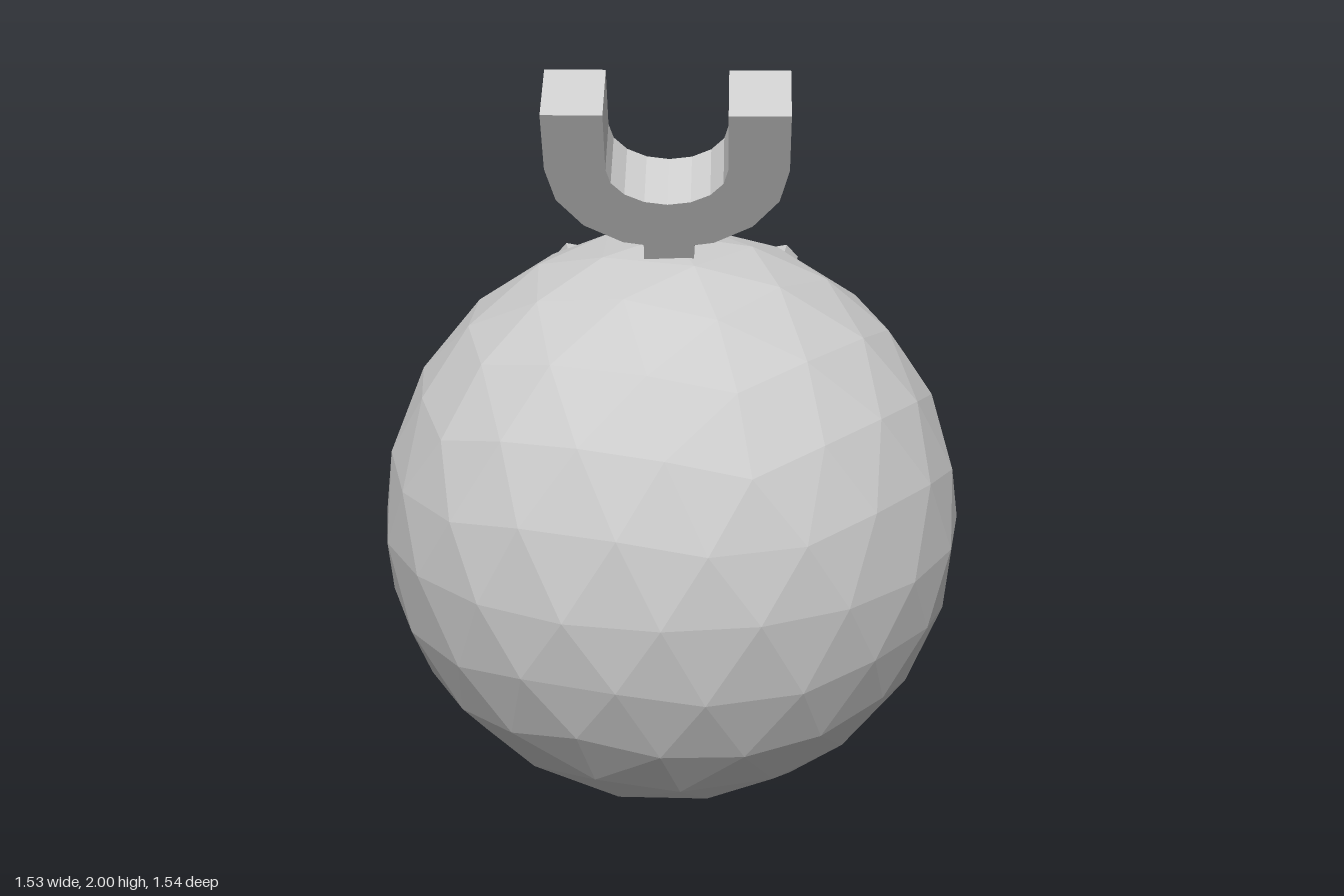
import * as THREE from 'three';

const grey = new THREE.MeshStandardMaterial({ color: 0xcccccc, flatShading: true });
grey.name = 'plain grey';

function part(name, geometry, parent) {
  const mesh = new THREE.Mesh(geometry, grey);
  mesh.name = name;
  parent.add(mesh);
  return mesh;
}

// Icosphere with a vertex at each pole, each triangle split in four per level
function icosphere(radius, levels) {
  const ring = (y, start) => Array.from({ length: 5 }, (_, i) => {
    const a = start + (i * Math.PI * 2) / 5, r = Math.sqrt(1 - y * y);
    return new THREE.Vector3(r * Math.cos(a), y, -r * Math.sin(a));
  });
  const h = Math.sqrt(0.2);
  const up = ring(h, 0), low = ring(-h, Math.PI / 5);
  const top = new THREE.Vector3(0, 1, 0), bottom = new THREE.Vector3(0, -1, 0);
  let tris = [];
  for (let i = 0; i < 5; i++) {
    const j = (i + 1) % 5;
    tris.push([top, up[i], up[j]], [up[i], low[i], up[j]],
      [low[i], low[j], up[j]], [bottom, low[j], low[i]]);
  }
  const mid = (a, b) => a.clone().add(b).normalize();
  for (let n = 0; n < levels; n++) {
    tris = tris.flatMap(([a, b, c]) => {
      const ab = mid(a, b), bc = mid(b, c), ca = mid(c, a);
      return [[a, ab, ca], [ab, b, bc], [ca, bc, c], [ab, bc, ca]];
    });
  }
  const geometry = new THREE.BufferGeometry().setFromPoints(tris.flat());
  geometry.scale(radius, radius, radius);
  geometry.computeVertexNormals();
  return geometry;
}

// Box laid on the ball: long axis along "along", outer face towards "out"
function plate(name, size, centre, along, out, parent) {
  const u = new THREE.Vector3(...along).normalize();
  const n = new THREE.Vector3(...out);
  n.addScaledVector(u, -n.dot(u)).normalize();
  const v = new THREE.Vector3().crossVectors(n, u);
  const mesh = part(name, new THREE.BoxGeometry(...size), parent);
  mesh.quaternion.setFromRotationMatrix(new THREE.Matrix4().makeBasis(u, v, n));
  mesh.position.set(...centre);
  return mesh;
}

// U outline: straight legs above two half ellipses
function horseshoe(depth) {
  const tip = 0.429, spring = 0.26, outer = 0.294, inner = 0.147;
  const arc = (rx, ry, n) => Array.from({ length: n + 1 }, (_, i) => {
    const a = Math.PI + (i * Math.PI) / n;
    return new THREE.Vector2(rx * Math.cos(a), spring + ry * Math.sin(a));
  });
  const shape = new THREE.Shape([
    new THREE.Vector2(-outer, tip), ...arc(outer, spring, 8),
    new THREE.Vector2(outer, tip), new THREE.Vector2(inner, tip),
    ...arc(inner, 0.113, 8).reverse(), new THREE.Vector2(-inner, tip),
  ]);
  return new THREE.ExtrudeGeometry(shape, { depth, bevelEnabled: false })
    .translate(0, 0, -depth / 2);
}

export function createModel() {
  const model = new THREE.Group();
  model.name = 'ballHead';

  part('ball', icosphere(0.766, 2), model).position.set(0, 0.766, 0.002);

  // Horns leaning forward on a short stem
  const horns = new THREE.Group();
  horns.name = 'horns';
  horns.position.set(0, 1.586, 0.119);
  horns.rotation.x = Math.PI / 6;
  model.add(horns);
  part('horseshoe', horseshoe(0.165), horns);
  part('stem', new THREE.BoxGeometry(0.125, 0.17, 0.13), horns).position.y = -0.065;

  // Face on the back of the ball
  for (const [side, s] of [['left', 1], ['right', -1]]) {
    plate(side + 'Eye', [0.3, 0.062, 0.04], [s * 0.23, 1.148, -0.622],
      [s * 0.285, -0.04, 0.075], [s * 0.29, 0.45, -0.85], model);
    plate(side + 'Brow', [0.285, 0.06, 0.073], [s * 0.203, 1.3, -0.547],
      [s * 0.23, 0.08, 0.15], [s * 0.26, 0.67, -0.69], model);
  }
  const out = [0, 0.18, -0.98];
  plate('mouth', [0.304, 0.12, 0.034], [0, 0.915, -0.744], [-1, 0, 0], out, model);
  plate('mouthPanel', [0.25, 0.07, 0.008], [0, 0.918, -0.763], [-1, 0, 0], out, model);

  return model;
}
